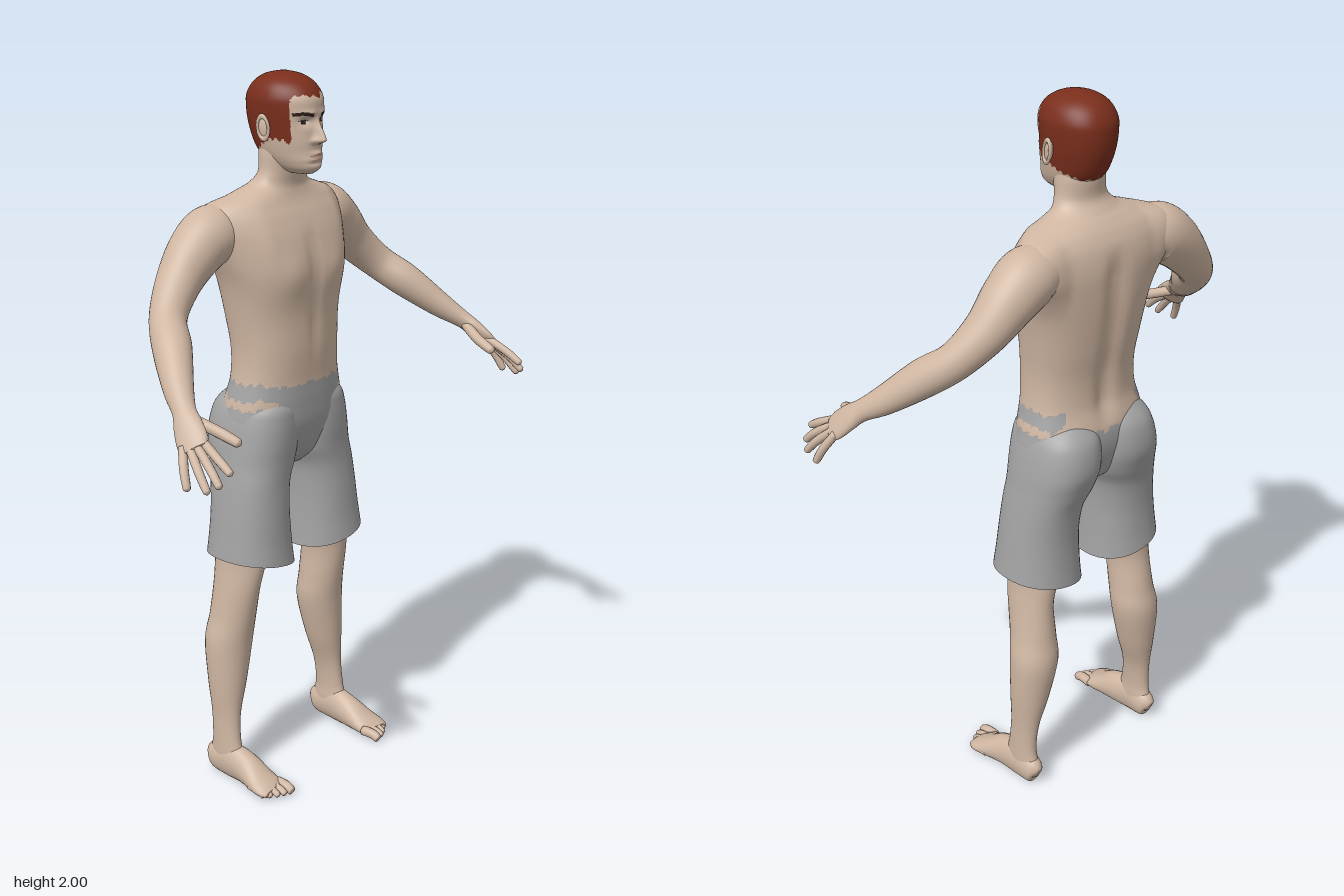
import * as THREE from 'three';

const mat = (name, color, side = THREE.FrontSide) => {
  const m = new THREE.MeshStandardMaterial({ color, side });
  m.name = name;
  return m;
};
const gauss = (d, w) => Math.exp(-(d * d) / (w * w));
const smooth = THREE.MathUtils.smoothstep;

// Catmull-Rom through rows of numbers
function resample(rows, n) {
  const out = [], last = rows.length - 1;
  for (let k = 0; k <= n; k++) {
    const f = (k / n) * last, i = Math.min(Math.floor(f), last - 1), t = f - i;
    const [a, b, c, d] = [i - 1, i, i + 1, i + 2].map(j => rows[THREE.MathUtils.clamp(j, 0, last)]);
    out.push(b.map((v, q) => v + 0.5 * t * (c[q] - a[q] +
      t * (2 * a[q] - 5 * v + 4 * c[q] - d[q] + t * (3 * (v - c[q]) + d[q] - a[q])))));
  }
  return out;
}

// Smooth surface through closed rings; pick(centre) gives the material of each face
function surface(name, rings, mats, { pick = () => 0, openStart = false } = {}) {
  const n = rings[0].length, pts = rings.flat(), tris = [];
  const centre = r => r.reduce((s, p) => s.add(p), new THREE.Vector3()).divideScalar(n);
  const origin = centre(rings[0]);
  for (let i = 0; i < rings.length - 1; i++) for (let j = 0; j < n; j++) {
    const a = i * n + j, b = i * n + (j + 1) % n;
    tris.push([a, a + n, b], [b, a + n, b + n]);
  }
  const top = (rings.length - 1) * n, c1 = pts.push(centre(rings[rings.length - 1])) - 1;
  for (let j = 0; j < n; j++) tris.push([top + j, c1, top + (j + 1) % n]);
  if (!openStart) {
    const c0 = pts.push(origin.clone()) - 1;
    for (let j = 0; j < n; j++) tris.push([(j + 1) % n, c0, j]);
  }
  // turn the faces outward
  let volume = 0;
  const [A, B, C] = [0, 0, 0].map(() => new THREE.Vector3());
  const load = t => [A, B, C].forEach((v, k) => v.copy(pts[t[k]]));
  for (const t of tris) {
    load(t);
    volume += A.sub(origin).dot(B.sub(origin).cross(C.sub(origin)));
  }
  const bins = mats.map(() => []);
  for (const t of tris) {
    load(t);
    const m = pick(A.add(B).add(C).divideScalar(3));
    bins[m].push(...(volume < 0 ? [t[0], t[2], t[1]] : t));
  }
  const geo = new THREE.BufferGeometry().setFromPoints(pts);
  geo.setIndex(bins.flat());
  let start = 0;
  bins.forEach((b, k) => { geo.addGroup(start, b.length, k); start += b.length; });
  geo.computeVertexNormals();
  const mesh = new THREE.Mesh(geo, mats.length > 1 ? mats : mats[0]);
  mesh.name = name;
  return mesh;
}

// Horizontal sections: [y, x0, x1, z0, z1, power]
function loft(name, rows, mats, { rowsN = 40, seg = 40, shape = p => p, ...rest } = {}) {
  const rings = resample(rows, rowsN).map(([y, x0, x1, z0, z1, p]) =>
    Array.from({ length: seg }, (_, j) => {
      const a = (j / seg) * Math.PI * 2, c = Math.cos(a), s = Math.sin(a);
      const bend = v => Math.sign(v) * Math.abs(v) ** (2 / p);
      return shape(new THREE.Vector3((x0 + x1) / 2 + (x1 - x0) / 2 * bend(c), y,
        (z0 + z1) / 2 + (z1 - z0) / 2 * bend(s)));
    }));
  return surface(name, rings, mats, rest);
}

// Sections across a path: [x, y, z, radius along width, radius across it]
function limb(name, rows, mats, width, { rowsN = 40, seg = 24, shape = p => p } = {}) {
  const path = resample(rows, rowsN), at = i => new THREE.Vector3(...path[i].slice(0, 3));
  const rings = path.map((r, i) => {
    const t = at(Math.min(i + 1, rowsN)).sub(at(Math.max(i - 1, 0))).normalize();
    const w = width.clone().addScaledVector(t, -width.dot(t)).normalize();
    const h = new THREE.Vector3().crossVectors(t, w);
    return Array.from({ length: seg }, (_, j) => {
      const a = (j / seg) * Math.PI * 2;
      return shape(at(i).addScaledVector(w, r[3] * Math.cos(a)).addScaledVector(h, r[4] * Math.sin(a)));
    });
  });
  return surface(name, rings, mats);
}

// Round-tipped finger or toe through a few points
function digit(name, pts, r, mats, shape) {
  const rows = pts.map(p => [...p, r, r]), tip = rows.pop(), prev = rows[rows.length - 1];
  const step = (f, k) => [0, 1, 2].map(q => prev[q] + (tip[q] - prev[q]) * f).concat(r * k, r * k);
  rows.push(step(0.8, 0.88), step(0.94, 0.62), step(1, 0.15));
  return limb(name, rows, mats, new THREE.Vector3(-0.46, 0.42, 0.79), { rowsN: 16, seg: 12, shape });
}

export function createModel() {
  const g = new THREE.Group();
  g.name = 'man';
  const skin = mat('skin', 0xcfb6a2), hair = mat('hair', 0x7a2e1c), dark = mat('brow', 0x2e1d17);
  const cloth = mat('shorts', 0xa2a2a2, THREE.DoubleSide), lip = mat('lips', 0xb08a7a), white = mat('eyeWhite', 0xd8d0c8);
  const sym = rows => rows.map(([y, w, z0, z1, p]) => [y, -w, w, z0, z1, p]);

  // Torso, neck and the upper part of the shorts
  const torsoRows = sym([
    [0.93, 0.05, -0.17, -0.06, 2.2], [0.97, 0.13, -0.21, -0.03, 2.3], [1.05, 0.192, -0.235, -0.005, 2.4],
    [1.12, 0.186, -0.235, 0, 2.4], [1.19, 0.169, -0.22, 0, 2.4], [1.27, 0.164, -0.222, 0.004, 2.4],
    [1.36, 0.172, -0.238, 0.004, 2.4], [1.45, 0.188, -0.25, 0.008, 2.5], [1.52, 0.212, -0.255, 0.003, 2.5],
    [1.58, 0.238, -0.255, -0.01, 2.4], [1.63, 0.248, -0.245, -0.032, 2.3], [1.665, 0.222, -0.228, -0.052, 2.2],
    [1.69, 0.15, -0.208, -0.062, 2.1], [1.71, 0.098, -0.188, -0.065, 2], [1.74, 0.075, -0.168, -0.06, 2],
    [1.79, 0.07, -0.17, -0.05, 2], [1.83, 0.066, -0.165, -0.05, 2]]);
  const torsoShape = p => {
    const ax = Math.abs(p.x), up = smooth(p.y, 1.45, 1.58) * (1 - smooth(p.y, 1.66, 1.72));
    if (p.z > -0.1) {
      p.z += 0.012 * gauss(ax - 0.085, 0.06) * gauss(p.y - 1.485, 0.06);
      p.z -= 0.006 * gauss(ax, 0.015) * smooth(p.y, 1.2, 1.35) * (1 - smooth(p.y, 1.56, 1.62));
    } else {
      p.z += 0.016 * gauss(ax, 0.028) * smooth(p.y, 1.1, 1.2) * (1 - smooth(p.y, 1.55, 1.65));
    }
    p.z -= Math.max(0, ax - 0.14) * 0.35 * up;
    return p;
  };
  const waist = p => {
    const rag = 0.005 * Math.sin(p.x * 130) + 0.004 * Math.sin(p.x * 57 + p.z * 210);
    const y = p.y + rag, ax = Math.abs(p.x);
    if (p.z > -0.07 && ax < 0.12) return y < 1.178 ? 1 : 0;
    return y < 1.118 || (y > 1.142 && y < 1.184 && p.z > -0.2 && ax > 0.1) ? 1 : 0;
  };
  g.add(loft('torso', torsoRows, [skin, cloth], { rowsN: 160, seg: 96, shape: torsoShape, pick: waist }));

  // Head with face relief, hair, brows and eyes
  const headRows = sym([
    [1.742, 0.026, -0.09, -0.008, 2], [1.755, 0.046, -0.12, 0.01, 2.1], [1.775, 0.06, -0.155, 0.014, 2.2],
    [1.8, 0.07, -0.18, 0.01, 2.2], [1.83, 0.077, -0.195, 0.011, 2.2], [1.87, 0.083, -0.207, 0.01, 2.2],
    [1.91, 0.087, -0.211, 0.012, 2.2], [1.94, 0.086, -0.208, 0.008, 2.2], [1.97, 0.072, -0.19, -0.014, 2.1],
    [1.99, 0.045, -0.16, -0.05, 2], [2, 0.008, -0.115, -0.095, 2]]);
  const headShape = p => {
    const ax = Math.abs(p.x), y = p.y;
    p.x *= 1 - 0.12 * smooth(p.z, -0.09, 0);
    if (p.z > -0.05) {
      const ridge = smooth(y, 1.817, 1.833) * (1 - smooth(y, 1.832, 1.9));
      p.z += 0.031 * ridge * gauss(ax, 0.011 + 0.006 * gauss(y - 1.828, 0.012));
      p.z -= 0.01 * gauss(ax - 0.034, 0.018) * gauss(y - 1.88, 0.012);
      p.z += 0.004 * gauss(y - 1.9, 0.009) * gauss(ax - 0.03, 0.025);
      p.z += 0.006 * gauss(ax, 0.022) * (gauss(y - 1.797, 0.006) + gauss(y - 1.784, 0.006));
      p.z -= 0.004 * gauss(ax, 0.03) * gauss(y - 1.772, 0.006);
    }
    return p;
  };
  const face = p => {
    const ax = Math.abs(p.x), { y, z } = p, rag = 0.004 * Math.sin(p.x * 190) + 0.004 * Math.sin(z * 330 + y * 90);
    const line = z > -0.028 ? 1.945 : z > -0.085 ? 1.83 : 1.83 + (z + 0.085) * 0.5;
    if (y + rag > line) return 1;
    if (z < -0.05) return 0;
    const arch = 1.897 + 0.004 * gauss(ax - 0.042, 0.015);
    if (ax > 0.014 && ax < 0.06 && Math.abs(y - arch) < 0.0045) return 2;
    const ex = (ax - 0.034) / 0.015, ey = (y - 1.879) / 0.0055;
    if (ex * ex + ey * ey < 1) return Math.abs(ex) < 0.45 || ey > 0.4 ? 2 : 4;
    return ax < 0.023 && Math.abs(y - 1.79) < 0.008 * (1 - ax / 0.03) ? 3 : 0;
  };
  g.add(loft('head', headRows, [skin, hair, dark, lip, white], { rowsN: 130, seg: 144, shape: headShape, pick: face }));

  for (const s of [1, -1]) {
    const side = s > 0 ? 'left' : 'right';
    const flip = p => { p.x *= s; return p; };
    const ground = p => { p.y = Math.max(p.y, 0.002); return flip(p); };

    // Ear: a shell with a raised rim
    const ear = new THREE.Group();
    ear.name = side + 'Ear';
    const shell = new THREE.Mesh(new THREE.SphereGeometry(1, 16, 12), skin);
    shell.scale.set(0.008, 0.03, 0.017);
    const rim = new THREE.Mesh(new THREE.TorusGeometry(0.02, 0.005, 8, 24), skin);
    rim.rotation.y = Math.PI / 2;
    rim.scale.set(0.8, 1.45, 1);
    rim.position.x = s * 0.005;
    ear.add(shell, rim);
    ear.position.set(s * 0.089, 1.863, -0.095);
    ear.rotation.set(-0.15, -s * 0.25, 0);
    g.add(ear);

    // Arm running into the palm
    g.add(limb(side + 'Arm', [
      [0.15, 1.575, -0.16, 0.06, 0.07], [0.215, 1.592, -0.166, 0.078, 0.08], [0.28, 1.553, -0.168, 0.073, 0.073],
      [0.35, 1.485, -0.16, 0.06, 0.058], [0.42, 1.415, -0.125, 0.049, 0.049], [0.47, 1.36, -0.06, 0.051, 0.048],
      [0.53, 1.29, 0.02, 0.04, 0.036], [0.565, 1.25, 0.075, 0.031, 0.025], [0.583, 1.225, 0.105, 0.038, 0.021],
      [0.6, 1.195, 0.137, 0.042, 0.017], [0.61, 1.18, 0.156, 0.034, 0.011]],
    [skin], new THREE.Vector3(-0.46, 0.42, 0.79), { rowsN: 80, seg: 32, shape: flip }));

    // Fingers
    const fingers = {
      LittleFinger: [[0.618, 1.182, 0.122], [0.641, 1.138, 0.148], [0.655, 1.09, 0.172]],
      RingFinger: [[0.61, 1.187, 0.135], [0.632, 1.14, 0.188], [0.643, 1.094, 0.23]],
      MiddleFinger: [[0.6, 1.192, 0.147], [0.618, 1.15, 0.212], [0.627, 1.11, 0.256]],
      IndexFinger: [[0.587, 1.2, 0.155], [0.597, 1.167, 0.222], [0.6, 1.14, 0.268]],
      Thumb: [[0.562, 1.235, 0.095], [0.537, 1.21, 0.155], [0.521, 1.186, 0.224]],
    };
    for (const [n, pts] of Object.entries(fingers))
      g.add(digit(side + n, pts, n === 'Thumb' ? 0.0145 : 0.0115, [skin], flip));

    // Leg of the shorts, with a hem that rises outward
    const hem = p => {
      p.y += ((p.x - 0.03) / 0.23 - 0.5) * 0.042 * (1 - smooth(p.y, 0.68, 0.85));
      return flip(p);
    };
    g.add(loft(side + 'ShortsLeg', [
      [0.675, 0.03, 0.26, -0.232, 0.012, 2.2], [0.74, 0.036, 0.252, -0.226, 0.004, 2.2],
      [0.82, 0.04, 0.243, -0.224, -0.002, 2.2], [0.9, 0.034, 0.231, -0.232, -0.008, 2.3],
      [0.96, 0.008, 0.22, -0.25, -0.008, 2.3], [1.02, -0.002, 0.21, -0.266, -0.004, 2.3],
      [1.08, -0.002, 0.196, -0.262, -0.004, 2.3], [1.12, 0.005, 0.178, -0.244, -0.01, 2.3],
      [1.16, 0.03, 0.14, -0.2, -0.04, 2.2]], [cloth], { rowsN: 56, seg: 48, shape: hem, openStart: true }));

    // Leg
    g.add(loft(side + 'Leg', [
      [0.03, 0.2, 0.254, -0.198, -0.08, 2], [0.07, 0.197, 0.256, -0.195, -0.075, 2], [0.12, 0.198, 0.256, -0.186, -0.088, 2],
      [0.2, 0.188, 0.256, -0.19, -0.095, 2], [0.3, 0.156, 0.262, -0.207, -0.09, 2], [0.42, 0.129, 0.263, -0.222, -0.083, 2],
      [0.5, 0.13, 0.249, -0.212, -0.07, 2], [0.6, 0.133, 0.237, -0.203, -0.05, 2], [0.68, 0.115, 0.23, -0.206, -0.038, 2],
      [0.8, 0.09, 0.23, -0.21, -0.03, 2]], [skin], { rowsN: 56, seg: 32, shape: flip }));

    // Foot, flat underneath
    g.add(limb(side + 'Foot', [
      [0.227, 0.04, -0.2, 0.01, 0.016], [0.227, 0.045, -0.185, 0.028, 0.042], [0.227, 0.052, -0.12, 0.033, 0.055],
      [0.225, 0.045, -0.06, 0.039, 0.048], [0.229, 0.028, 0, 0.047, 0.03], [0.231, 0.021, 0.032, 0.049, 0.02],
      [0.229, 0.018, 0.052, 0.04, 0.012]], [skin], new THREE.Vector3(1, 0, 0), { shape: ground }));

    // Toes
    [[0.194, 0.089, 0.0145], [0.217, 0.084, 0.0105], [0.236, 0.075, 0.01], [0.253, 0.062, 0.0095], [0.268, 0.047, 0.009]]
      .forEach(([x, z, r], i) => g.add(digit(`${side}Toe${i + 1}`,
        [[x - 0.002, 0.022, z - 0.06], [x, 0.022, z - 0.025], [x, 0.012, z]], r, [skin], ground)));
  }
  return g;
}
